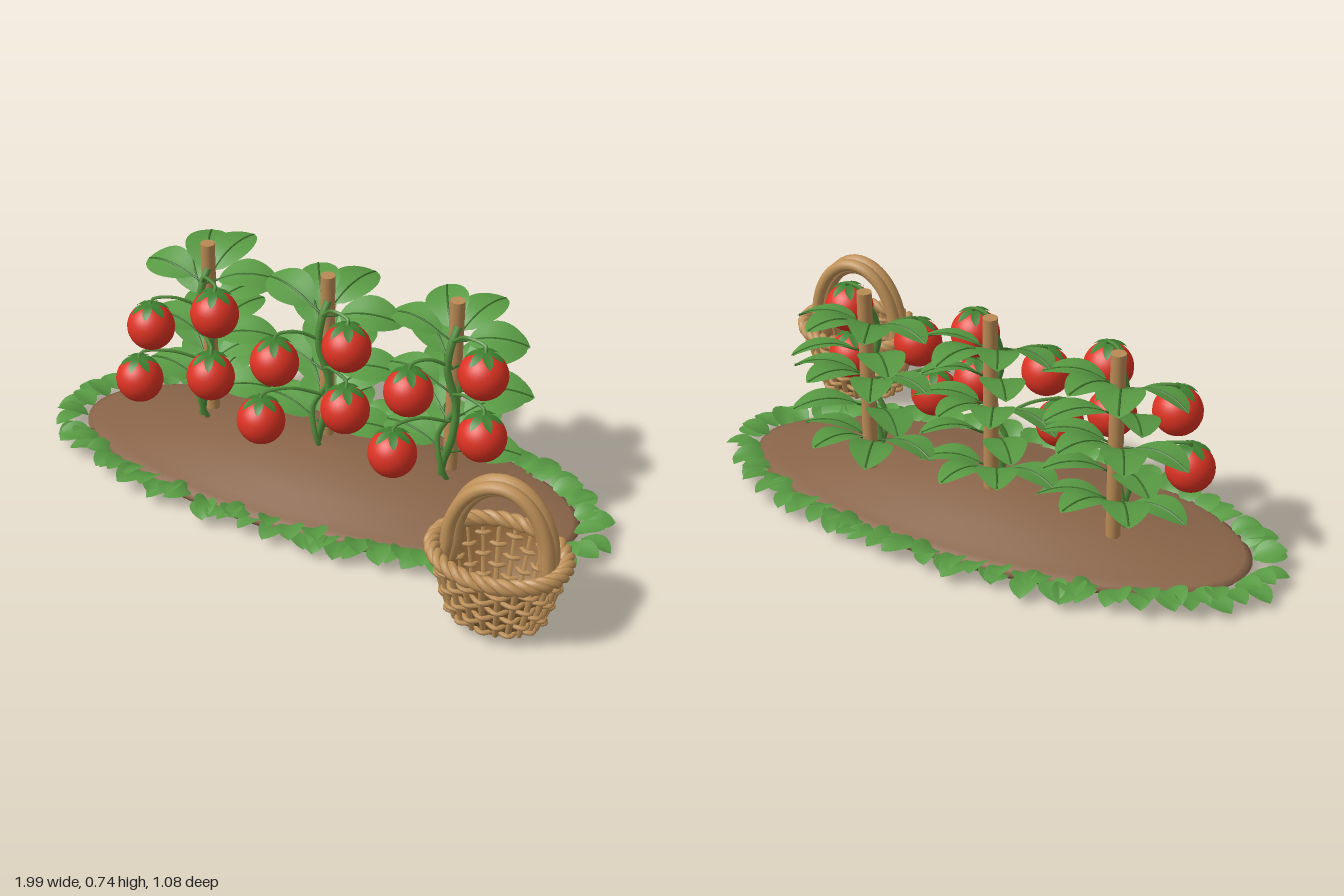
import * as THREE from 'three';

const V = (x, y, z) => new THREE.Vector3(x, y, z);
const mat = (color, side = THREE.FrontSide) => new THREE.MeshStandardMaterial({ color, side });
const SOIL = mat(0x8a6549, THREE.DoubleSide), WOOD = mat(0xb98a54), WICKER = mat(0xbf9158);
const WICKER_WALL = mat(0x94693a, THREE.DoubleSide);
const RED = mat(0xdc3222), STEM = mat(0x528d3b), RIB = mat(0x3a6d28);
const LEAF = mat(0x589a43, THREE.DoubleSide), CALYX = mat(0x3f8030, THREE.DoubleSide);

let seed = 7;
const rnd = (a, b) => {
  seed = (seed * 16807) % 2147483647;
  return a + (b - a) * (seed / 2147483647);
};

function add(parent, name, geo, material, x = 0, y = 0, z = 0) {
  const m = new THREE.Mesh(geo, material);
  m.name = name;
  m.position.set(x, y, z);
  parent.add(m);
  return m;
}

function tube(points, r, segs = 16, sides = 7, closed = false) {
  return new THREE.TubeGeometry(new THREE.CatmullRomCurve3(points, closed), segs, r, sides, closed);
}

// Leaf blade along +z: spine(u) gives [z, y], fold lifts the edges
function leafGeometry(width, spine, fold, nx, nz) {
  const g = new THREE.PlaneGeometry(1, 1, nx, nz).rotateX(-Math.PI / 2);
  const p = g.attributes.position;
  for (let i = 0; i < p.count; i++) {
    const u = p.getZ(i) + 0.5, v = p.getX(i) * 2;
    const half = (width / 2) * Math.pow(Math.max(0, Math.sin(Math.PI * Math.pow(u, 0.95))), 0.65);
    const [z, y] = spine(u);
    p.setXYZ(i, v * half, y + Math.abs(v * half) * fold, z);
  }
  g.computeVertexNormals();
  return g;
}

const bigSpine = (u) => [0.05 + 0.21 * u, 0.016 + 0.11 * u * (1 - u) - 0.015 * u];
const bigLeaf = leafGeometry(0.145, bigSpine, 0.1, 6, 14);
const bigRib = tube([V(0, 0, 0), V(0, 0.012, 0.03),
  ...[0, 0.35, 0.7, 0.97].map((u) => { const [z, y] = bigSpine(u); return V(0, y, z); })], 0.004, 14, 5);
const smallLeaf = leafGeometry(0.092, (u) => [0.12 * u, 0.05 * u * (1 - u)], 0.2, 4, 8);
const R = 0.079;
const sepal = leafGeometry(0.03, (u) => [(R + 0.004) * Math.sin(u * 0.85), (R + 0.004) * Math.cos(u * 0.85)], 0.1, 2, 6);
const fruit = new THREE.SphereGeometry(R, 28, 20);

// Low mound, hollow underneath
function mound() {
  const profile = [[0, 0.11], [0.4, 0.09], [0.75, 0.05], [0.88, 0.03], [0.9, 0.01], [0.95, 0.008], [0.985, 0.02],
    [1, 0.036], [0.97, 0.045], [0.9, 0.053], [0.8, 0.064], [0.6, 0.092], [0.4, 0.115], [0.2, 0.131], [0, 0.138]];
  return new THREE.LatheGeometry(profile.map(([x, y]) => new THREE.Vector2(x, y)), 64)
    .scale(0.88, 1, 0.365);
}

// Two overlapping rings of leaves around the mound
function groundLeaves() {
  const ring = new THREE.Group();
  ring.name = 'groundLeaves';
  [[60, 1, -0.04, 0.03], [54, 0.97, -0.25, 0.034]].forEach(([count, k, pitch, y]) => {
    const pts = new THREE.EllipseCurve(0, 0, 0.9 * k, 0.332 * k).getSpacedPoints(count);
    pts.slice(0, -1).forEach((p) => {
      const yaw = Math.atan2(p.x / 0.9 ** 2, p.y / 0.332 ** 2);
      const leaf = add(ring, 'groundLeaf', smallLeaf, LEAF, p.x - 0.01, y + rnd(-0.006, 0.006), p.y - 0.098);
      leaf.rotation.set(pitch + rnd(-0.1, 0.1), yaw + rnd(-0.6, 0.6), rnd(-0.25, 0.25), 'YXZ');
      leaf.scale.setScalar(rnd(0.76, 0.98));
    });
  });
  return ring;
}

function tomato(x, y, z) {
  const g = new THREE.Group();
  g.name = 'tomato';
  g.position.set(x, y, z);
  add(g, 'fruit', fruit, RED).scale.z = 0.97;
  for (let i = 0; i < 6; i++) {
    const s = add(g, 'sepal', sepal, CALYX);
    s.rotation.y = (i * Math.PI) / 3 + x * 5;
  }
  return g;
}

// Stake, climbing vine, leaves and hanging fruit
function plant(sx, sz, fruits) {
  const g = new THREE.Group();
  g.name = 'tomatoPlant';
  add(g, 'stake', new THREE.CylinderGeometry(0.024, 0.024, 0.737, 14), WOOD, sx, 0.3685, sz);

  const path = [[-0.02, 0.01, 0.045], [-0.005, 0.15, 0.06], [0.03, 0.28, 0.075], [0.035, 0.4, 0.07],
    [0.005, 0.53, 0.08], [0.01, 0.62, 0.065], [0.02, 0.67, 0.04]].map(([x, y, z]) => V(sx + x, y, sz + z));
  add(g, 'vine', tube(path, 0.013, 36, 8), STEM);
  const side = [[0.03, 0.05, 0.05], [0.0, 0.16, 0.085], [-0.02, 0.27, 0.07], [0.03, 0.38, 0.06], [0.04, 0.5, 0.05]];
  add(g, 'sideVine', tube(side.map(([x, y, z]) => V(sx + x, y, sz + z)), 0.009, 28, 7), STEM);

  // Tiers of leaves fanning towards the sides and back, tilted up at the back
  const tiers = [[0.185, [-76, -22, 26, 74]], [0.29, [-46, 42]], [0.4, [-76, -22, 26, 74]],
    [0.5, [-42, 38]], [0.61, [-74, -18, 26, 72]]];
  tiers.forEach(([y, fan]) => {
    const tier = new THREE.Group();
    tier.name = 'leafTier';
    tier.position.set(sx, y + rnd(-0.012, 0.012), sz + 0.03);
    tier.rotation.x = 0.24;
    fan.forEach((deg) => {
      const leaf = new THREE.Group();
      leaf.name = 'leaf';
      add(leaf, 'blade', bigLeaf, LEAF);
      add(leaf, 'midrib', bigRib, RIB);
      leaf.rotation.set(rnd(-0.1, 0.06), Math.PI + ((deg + rnd(-5, 5)) * Math.PI) / 180, rnd(-0.12, 0.12), 'YXZ');
      leaf.scale.setScalar(rnd(0.92, 1.04));
      tier.add(leaf);
    });
    g.add(tier);
  });

  fruits.forEach(([x, y, z]) => {
    g.add(tomato(x, y, z));
    const sy = Math.min(y + 0.05, 0.64), top = y + R;
    add(g, 'fruitStem', tube([V(sx + 0.015, sy, sz + 0.07),
      V((sx + x) / 2, top + 0.018, (sz + 0.07 + z) / 2), V(x, top + 0.015, z - 0.012), V(x, top - 0.005, z)], 0.006, 14, 6), STEM);
  });
  return g;
}

function basket() {
  const g = new THREE.Group();
  g.name = 'basket';
  g.position.set(0.767, 0, 0.358);
  // Point on the flared oval wall, t from base to rim, out pushed outwards
  const wall = (a, t, out = 0) => V(
    Math.cos(a) * (0.142 + 0.058 * t + out), 0.035 + 0.215 * t, Math.sin(a) * (0.106 + 0.048 * t + out));
  const loop = (n, f) => Array.from({ length: n }, (_, i) => f((i / n) * Math.PI * 2));

  const shell = new THREE.LatheGeometry([[0, 0], [0.7, 0], [0.97, 1]].map(([r, t]) =>
    new THREE.Vector2(r, 0.035 + 0.215 * t)), 40).scale(0.2, 1, 0.153);
  add(g, 'innerWall', shell, WICKER_WALL);
  loop(24, (a) => add(g, 'upright', tube([wall(a, 0), wall(a, 0.5, 0.004), wall(a, 1)], 0.01, 6, 6), WICKER));

  // Woven rows passing alternately in front of and behind the uprights
  const rows = 6;
  for (let k = 0; k < rows; k++) {
    const t = 0.06 + (k / (rows - 1)) * 0.8;
    add(g, 'wovenRow', tube(loop(96, (a) => wall(a, t, 0.002 + 0.012 * Math.cos(12 * a + k * Math.PI))),
      0.008, 144, 6, true), WICKER);
  }

  // Twisted rim
  for (let k = 0; k < 3; k++) {
    const strand = loop(120, (a) => {
      const w = 10 * a + (k * Math.PI * 2) / 3, d = 0.013 * Math.cos(w);
      return V(Math.cos(a) * (0.204 + d), 0.262 + 0.013 * Math.sin(w), Math.sin(a) * (0.157 + d));
    });
    add(g, 'rimStrand', tube(strand, 0.0135, 180, 7, true), WICKER);
  }

  // Arched handle of bundled rods
  [[-0.02, 0], [0.02, 0], [0, -0.018]].forEach(([z, s]) => {
    const arch = [V(-0.17 - s, 0.2, z)];
    for (let i = 0; i <= 10; i++) {
      const a = Math.PI * (1 - i / 10);
      arch.push(V(Math.cos(a) * (0.16 + s), 0.26 + Math.sin(a) * (0.249 + s), z));
    }
    arch.push(V(0.17 + s, 0.2, z));
    add(g, 'handleRod', tube(arch, 0.021, 40, 10), WICKER);
  });
  return g;
}

export function createModel() {
  const model = new THREE.Group();
  model.name = 'tomatoPatch';
  add(model, 'soilMound', mound(), SOIL, 0, 0, -0.095);
  model.add(groundLeaves());
  model.add(plant(-0.457, -0.18, [[-0.585, 0.485, -0.01], [-0.355, 0.585, -0.02], [-0.345, 0.385, 0.04], [-0.628, 0.28, 0.01]]));
  model.add(plant(-0.02, -0.157, [[-0.125, 0.487, 0.02], [0.108, 0.583, -0.015], [0.125, 0.383, 0.03], [-0.155, 0.282, 0.063]]));
  model.add(plant(0.407, -0.185, [[0.325, 0.487, 0], [0.55, 0.583, -0.047], [0.57, 0.383, -0.007], [0.298, 0.28, 0.053]]));
  model.add(basket());
  return model;
}
